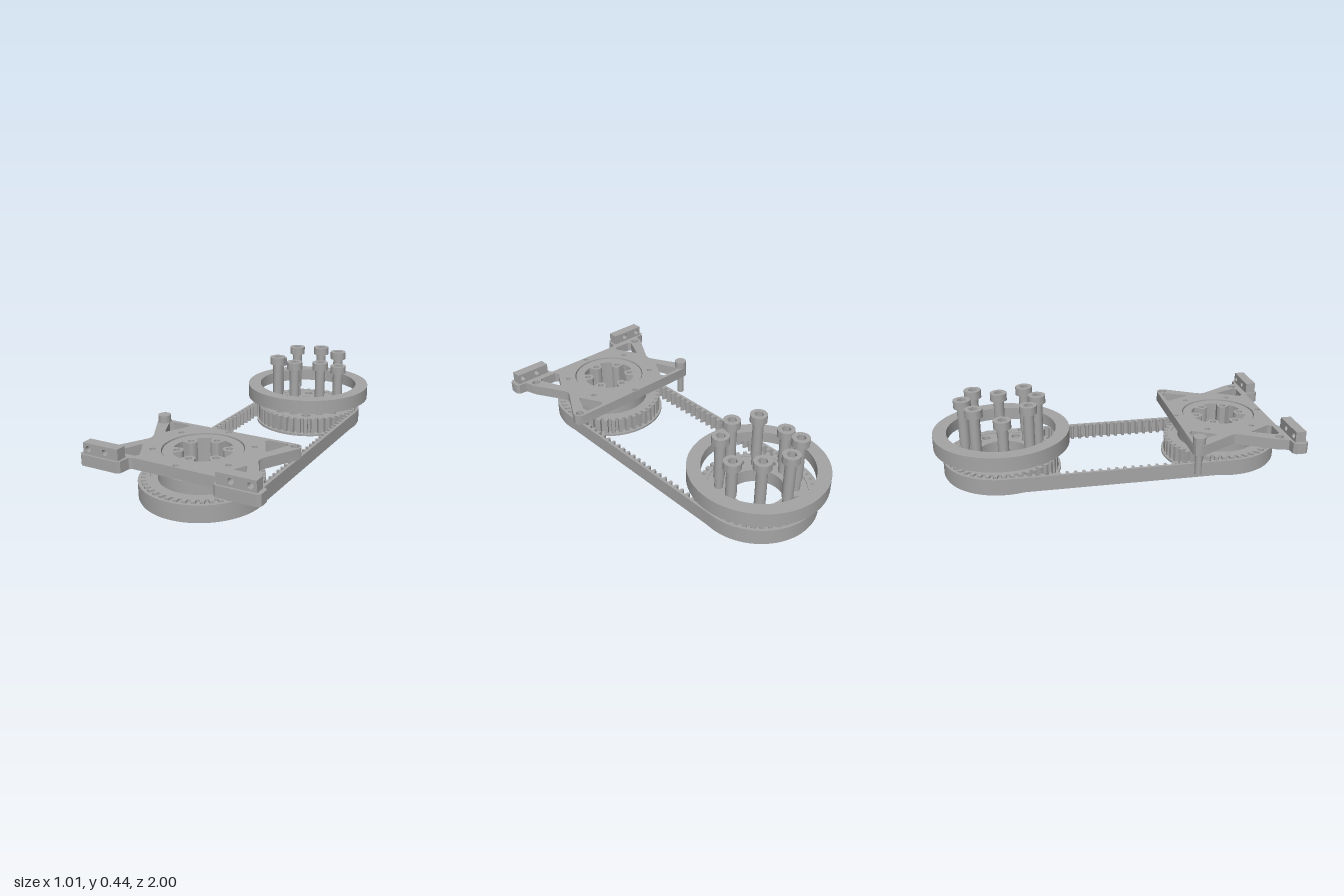
import * as THREE from 'three';
import { toCreasedNormals } from 'three/addons/utils/BufferGeometryUtils.js';

const TAU = Math.PI * 2;
const FRONT_Z = 0.65, REAR_Z = -0.62;
const TEETH = 44, SPAN_TEETH = 28;

export function createModel() {
  const model = new THREE.Group();
  const grey = new THREE.MeshStandardMaterial({ color: 0xa5a5a5 });
  grey.name = 'machined grey';

  const add = (parent, name, geometry) => {
    const mesh = new THREE.Mesh(geometry, grey);
    mesh.name = name;
    parent.add(mesh);
    return mesh;
  };
  const group = (name, z) => {
    const g = new THREE.Group();
    g.name = name;
    g.position.z = z;
    model.add(g);
    return g;
  };

  // Outlines are lists of (x, z) points
  const circle = (r, x = 0, z = 0, n = 64) => Array.from({ length: n }, (_, i) =>
    new THREE.Vector2(x + r * Math.cos(i / n * TAU), z + r * Math.sin(i / n * TAU)));
  const holeRing = (count, R, r, start = 0, n = 16) => Array.from({ length: count }, (_, i) => {
    const a = start + i / count * TAU;
    return circle(r, R * Math.cos(a), R * Math.sin(a), n);
  });
  const extrude = (outline, holes, depth) => {
    const shape = new THREE.Shape(outline);
    holes.forEach(h => shape.holes.push(new THREE.Path(h)));
    return new THREE.ExtrudeGeometry(shape, { depth, bevelEnabled: false });
  };
  // Horizontal slab between two heights
  const slab = (outline, holes, y0, y1) => toCreasedNormals(
    extrude(outline, holes, y1 - y0).rotateX(Math.PI / 2).translate(0, y1, 0), 0.5);
  const rod = (r, y0, y1) => new THREE.CylinderGeometry(r, r, y1 - y0, 24).translate(0, (y0 + y1) / 2, 0);

  // Central opening with six screw bosses pushed into it
  const lobedHole = Array.from({ length: 144 }, (_, i) => {
    const a = i / 144 * TAU, step = TAU / 6;
    const phi = a - Math.PI / 2 - Math.round((a - Math.PI / 2) / step) * step;
    const side = 0.132 * Math.sin(phi);
    const r = Math.abs(side) < 0.034 ? 0.132 * Math.cos(phi) - Math.sqrt(0.034 ** 2 - side ** 2) : 0.155;
    return new THREE.Vector2(r * Math.cos(a), r * Math.sin(a));
  });
  const hubHoles = [lobedHole, ...holeRing(6, 0.132, 0.017, Math.PI / 2)];

  // Toothed outline of a pulley
  const gear = [];
  for (let i = 0; i < TEETH; i++) {
    [[0.03, 0.316], [0.47, 0.316], [0.56, 0.292], [0.94, 0.292]].forEach(([f, r]) => {
      const a = (i + f) / TEETH * TAU;
      gear.push(new THREE.Vector2(r * Math.cos(a), r * Math.sin(a)));
    });
  }
  const pulleyRim = g => {
    add(g, 'toothedRim', slab(gear, [circle(0.272)], 0.012, 0.105));
    add(g, 'bottomFlange', slab(circle(0.328, 0, 0, 96), [circle(0.272)], 0, 0.012));
  };

  // Front pulley with pocketed underside and stepped hub
  const front = group('frontPulley', FRONT_Z);
  pulleyRim(front);
  add(front, 'web', slab(circle(0.274), hubHoles, 0.065, 0.1));
  add(front, 'pocketedWeb', slab(circle(0.274), [...hubHoles, ...holeRing(12, 0.225, 0.036)], 0.02, 0.065));
  add(front, 'hub', slab(circle(0.232), hubHoles, 0.1, 0.165));
  add(front, 'collar', slab(circle(0.2), hubHoles, 0.165, 0.19));
  add(front, 'hubCap', slab(circle(0.205), hubHoles, 0.19, 0.241));

  // Rear pulley
  const rear = group('rearPulley', REAR_Z);
  pulleyRim(rear);
  add(rear, 'web', slab(circle(0.274), [circle(0.15), ...holeRing(8, 0.228, 0.026, TAU / 16)], 0.065, 0.1));
  add(rear, 'pocketedWeb',
    slab(circle(0.274), [circle(0.15), ...holeRing(8, 0.223, 0.044, TAU / 16)], 0.02, 0.065));

  // Plain ring floating above the rear pulley
  const ringProfile = [[0.305, 0.185], [0.33, 0.185], [0.33, 0.165], [0.381, 0.165],
    [0.381, 0.247], [0.305, 0.247], [0.305, 0.185]].map(p => new THREE.Vector2(...p));
  add(group('upperRing', REAR_Z), 'ring',
    toCreasedNormals(new THREE.LatheGeometry(ringProfile, 96), 0.5));

  // Eight socket-head bolts; the two on the sides sit lower
  for (let i = 0; i < 8; i++) {
    const a = i / 8 * TAU;
    const top = i % 4 === 0 ? 0.385 : 0.435;
    const bolt = group('bolt', REAR_Z + 0.205 * Math.sin(a));
    bolt.position.x = 0.205 * Math.cos(a);
    add(bolt, 'boltHead', slab(circle(0.048, 0, 0, 32), [circle(0.027, 0, 0, 6)], top - 0.045, top));
    add(bolt, 'boltSleeve', rod(0.03, 0.165, top - 0.04));
    add(bolt, 'boltShank', rod(0.024, 0.05, 0.17));
  }

  // Belt loop: s counts teeth along the path around both pulleys
  const half = TEETH / 2, lap = half + SPAN_TEETH;
  const beltPoint = (s, r) => {
    const second = s >= lap, t = second ? s - lap : s;
    const sign = second ? -1 : 1;
    const a = Math.min(t / half, 1) * Math.PI;
    const travel = Math.max(t - half, 0) / SPAN_TEETH * (FRONT_Z - REAR_Z);
    return new THREE.Vector2(sign * r * Math.cos(a),
      (second ? REAR_Z : FRONT_Z) + sign * (r * Math.sin(a) - travel));
  };
  const beltOuter = [], beltInner = [];
  for (let i = 0; i < lap * 2; i++) {
    beltOuter.push(beltPoint(i, 0.333), beltPoint(i + 0.5, 0.333));
    [[0, 0.318], [0.5, 0.318], [0.57, 0.3], [0.66, 0.294], [0.84, 0.294], [0.93, 0.3]]
      .forEach(([f, r]) => beltInner.push(beltPoint(i + f, r)));
  }
  add(model, 'timingBelt', slab(beltOuter, [beltInner], 0.01, 0.095));

  // Mounting plate: one half outline, mirrored
  const halfPlate = [[0, 0.38], [0.4, 0.38], [0.422, 0.389], [0.434, 0.413], [0.428, 0.437],
    [0.325, 0.62], [0.318, 0.645], [0.325, 0.67], [0.425, 0.845], [0.433, 0.87], [0.445, 0.91],
    [0.49, 0.913], [0.505, 0.93], [0.505, 0.98], [0.49, 0.995], [0.275, 0.995], [0.262, 0.982],
    [0.255, 0.925], [0.24, 0.915], [0, 0.915]];
  const mirrored = halfPlate.slice(1, -1).reverse().map(([x, z]) => [-x, z]);
  const outline = [...halfPlate, ...mirrored].map(p => new THREE.Vector2(...p));
  const plateHoles = [circle(0.21, 0, FRONT_Z), circle(0.014, 0, 0.397, 16), circle(0.014, 0, 0.895, 16)];
  for (const s of [-1, 1]) {
    for (const tri of [
      [[0.365, 0.415], [0.345, 0.402], [0.245, 0.402], [0.232, 0.422], [0.298, 0.545], [0.308, 0.54]],
      [[0.362, 0.872], [0.345, 0.888], [0.245, 0.888], [0.232, 0.868], [0.298, 0.745], [0.308, 0.75]]
    ]) plateHoles.push(tri.map(([x, z]) => new THREE.Vector2(s * x, z)));
    plateHoles.push(circle(0.023, s * 0.398, 0.415, 20), circle(0.023, s * 0.395, 0.873, 20),
      circle(0.015, s * 0.22, 0.515, 16), circle(0.015, s * 0.22, 0.775, 16));
  }
  const plate = group('mountingPlate', 0);
  add(plate, 'plate', slab(outline, plateHoles, 0.187, 0.247));

  // Cross-drilled blocks on the plate's feet
  const blockOutline = [[-0.105, 0.245], [0.105, 0.245], [0.105, 0.307], [-0.105, 0.307]]
    .map(p => new THREE.Vector2(...p));
  for (const s of [-1, 1]) {
    const holes = [-0.026, 0.074].map(x => circle(0.016, s * x, 0.276, 20));
    const block = add(plate, 'footBlock', toCreasedNormals(extrude(blockOutline, holes, 0.058), 0.5));
    block.position.set(s * 0.378, 0, 0.925);
  }

  // Headed pin through one corner of the plate
  const pin = group('cornerPin', 0.415);
  pin.position.x = -0.396;
  add(pin, 'pinShaft', rod(0.0195, 0.065, 0.25));
  add(pin, 'pinHead', rod(0.035, 0.247, 0.288));

  return model;
}
